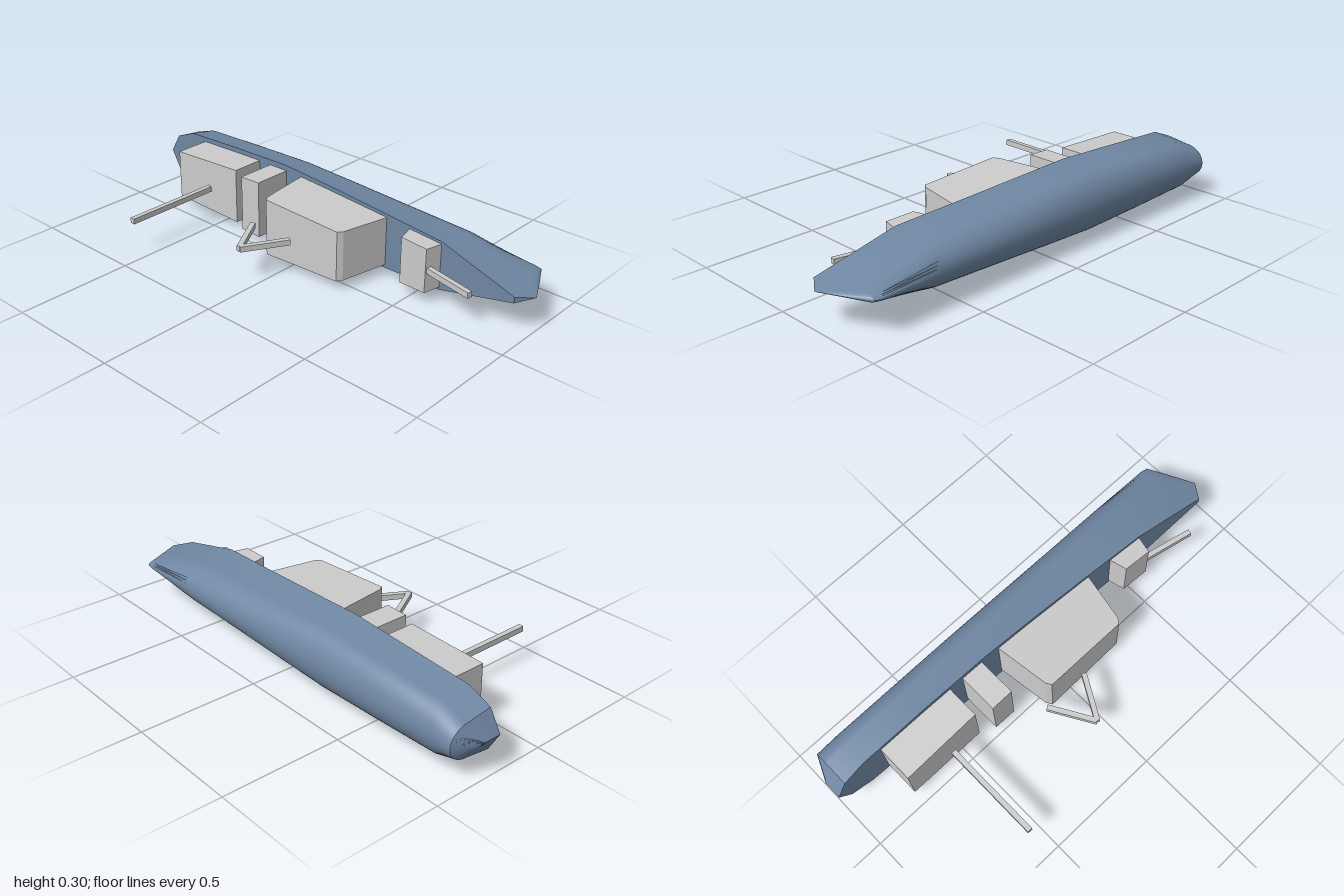
import * as THREE from 'three';
import { toCreasedNormals } from 'three/addons/utils/BufferGeometryUtils.js';

const MID = 0.15; // height of the ship's centre plane
const grey = new THREE.MeshStandardMaterial({ color: 0xcccccc });
const blue = new THREE.MeshStandardMaterial({ color: 0x6f87a3 });

// Hull stations: x, half beam, deck z, keel z
const STATIONS = [
  [-1, 0, -0.21, -0.29],
  [-0.95, 0.085, -0.21, -0.4],
  [-0.85, 0.125, -0.209, -0.4],
  [-0.55, 0.139, -0.204, -0.4],
  [-0.25, 0.15, -0.196, -0.4],
  [0, 0.138, -0.187, -0.4],
  [0.33, 0.12, -0.171, -0.4],
  [0.6, 0.105, -0.155, -0.4],
  [0.87, 0.034, -0.136, -0.4],
  [0.9, 0.026, -0.134, -0.394],
  [0.95, 0.0125, -0.13, -0.3],
  [1, 0, -0.2, -0.2],
];

function hullGeometry() {
  const arcSteps = 24, pos = [], index = [];
  const ring = arcSteps + 3;
  for (const [x, w, deck, keel] of STATIONS) {
    const knuckle = deck + (keel - deck) * 0.53;
    pos.push(x, MID + w, deck);
    // rounded bilge between the two knuckles
    for (let j = 0; j <= arcSteps; j++) {
      const a = (Math.PI * j) / arcSteps;
      pos.push(x, MID + 0.84 * w * Math.cos(a), knuckle + (keel - knuckle) * Math.sin(a));
    }
    pos.push(x, MID - w, deck);
  }
  for (let i = 0; i < STATIONS.length - 1; i++) {
    for (let j = 0; j < ring; j++) { // the last strip is the deck
      const k = (j + 1) % ring;
      const a = i * ring + j, b = i * ring + k, c = a + ring, d = b + ring;
      index.push(a, c, b, b, c, d);
    }
  }
  const g = new THREE.BufferGeometry();
  g.setAttribute('position', new THREE.Float32BufferAttribute(pos, 3));
  g.setIndex(index);
  return toCreasedNormals(g, 0.35);
}

// Superstructure block: x-z outline, half width varying linearly along x
function block(name, outline, halfStart, halfEnd) {
  const shape = new THREE.Shape(outline.map(([x, z]) => new THREE.Vector2(x, z)));
  const g = new THREE.ExtrudeGeometry(shape, { depth: 1, bevelEnabled: false });
  g.translate(0, 0, -0.5).rotateX(Math.PI / 2);
  const xs = outline.map((p) => p[0]);
  const x0 = Math.min(...xs), x1 = Math.max(...xs);
  const p = g.attributes.position;
  for (let i = 0; i < p.count; i++) {
    const half = THREE.MathUtils.mapLinear(p.getX(i), x0, x1, halfStart, halfEnd);
    p.setY(i, MID + 2 * half * p.getY(i));
  }
  g.computeVertexNormals();
  const m = new THREE.Mesh(g, grey);
  m.name = name;
  return m;
}

// Square bar between two points of the centre plane
function bar(name, [xa, za], [xb, zb]) {
  const m = new THREE.Mesh(
    new THREE.BoxGeometry(Math.hypot(xb - xa, zb - za), 0.024, 0.022), grey);
  m.position.set((xa + xb) / 2, MID, (za + zb) / 2);
  m.rotation.y = -Math.atan2(zb - za, xb - xa);
  m.name = name;
  return m;
}

export function createModel() {
  const ship = new THREE.Group();
  ship.name = 'ship';

  const hull = new THREE.Mesh(hullGeometry(), blue);
  hull.name = 'hull';
  ship.add(hull);

  // Deck blocks from stern to bow
  ship.add(
    block('aftHouse', [[-0.765, -0.215], [-0.41, -0.21], [-0.41, -0.055], [-0.765, -0.05]], 0.109, 0.123),
    block('funnelHouse', [[-0.345, -0.21], [-0.245, -0.205], [-0.245, -0.025], [-0.345, -0.025]], 0.123, 0.126),
    block('bridgeHouse', [
      [-0.16, -0.205], [0.325, -0.185], [0.28, 0.04], [0.265, 0.062],
      [-0.112, 0.065], [-0.126, 0.04]], 0.126, 0.106),
    block('forwardHouse', [[0.437, -0.18], [0.605, -0.17], [0.585, -0.082], [0.46, -0.09]], 0.1, 0.094),
  );

  // Masts and gun
  ship.add(
    bar('aftMast', [-0.556, -0.035], [-0.556, 0.402]),
    bar('mainMastAftLeg', [-0.165, 0.09], [-0.06, 0.27]),
    bar('mainMastForwardLeg', [0.042, 0.09], [-0.06, 0.27]),
    bar('gunBarrel', [0.585, -0.1], [0.81, -0.052]),
  );
  return ship;
}
